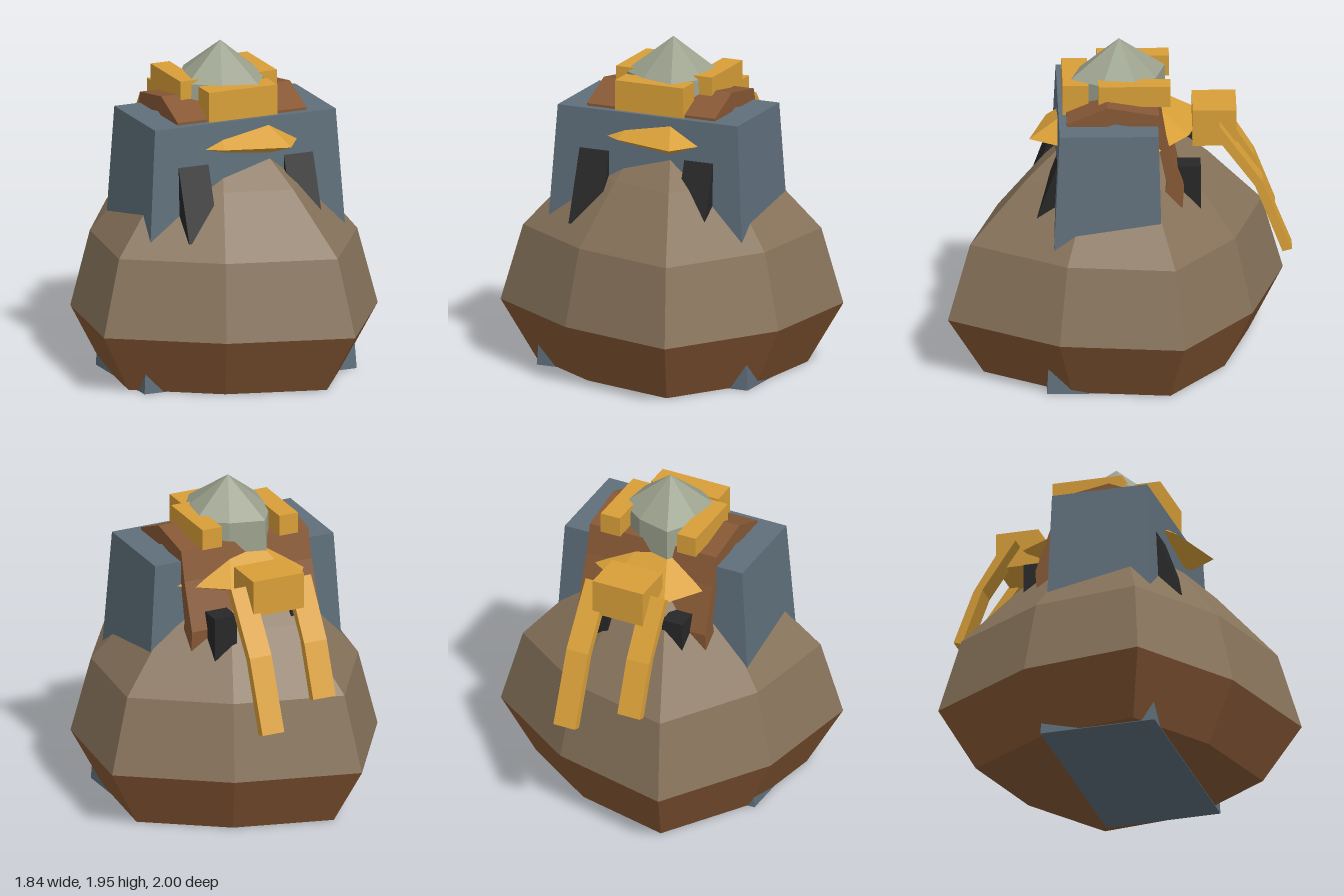
import * as THREE from 'three';

const mat = (name, color) => Object.assign(new THREE.MeshStandardMaterial({ color }), { name });

export function createModel() {
  const taupe = mat('taupe', 0x87735b), brown = mat('brown', 0x875835), slate = mat('slate', 0x5f6f7b);
  const gold = mat('gold', 0xd89f38), black = mat('black', 0x272727), sage = mat('sage', 0x9ba18d);
  const model = new THREE.Group();

  const add = (name, geometry, material) => {
    const mesh = new THREE.Mesh(geometry, material);
    mesh.name = name;
    model.add(mesh);
    return mesh;
  };

  // Box given by its x, y and z ranges
  const box = (name, material, x0, x1, y0, y1, z0, z1) => {
    const g = new THREE.BoxGeometry(x1 - x0, y1 - y0, z1 - z0);
    g.translate((x0 + x1) / 2, (y0 + y1) / 2, (z0 + z1) / 2);
    return add(name, g, material);
  };

  // Side profile of [z, y] points extruded between two x values
  const profile = (name, material, x0, x1, points) => {
    const shape = new THREE.Shape(points.map(([z, y]) => new THREE.Vector2(-z, y)));
    const g = new THREE.ExtrudeGeometry(shape, { depth: x1 - x0, bevelEnabled: false });
    g.rotateY(Math.PI / 2);
    g.translate(x0, 0, 0);
    return add(name, g, material);
  };

  // Irregular eight-sided outline shared by all body rings, as [x, z]
  const outline = [[0.41, 1], [-0.32, 0.8], [-0.92, 0.4], [-0.81, -0.32],
    [-0.4, -0.96], [0.33, -0.77], [0.92, -0.36], [0.84, 0.36]];

  // Faceted shell through rings of [scale, y]
  const shell = (name, material, rings) => {
    const pos = [];
    const at = (i, [s, y]) => {
      const [x, z] = outline[i % 8];
      return [x * s, y, z * s];
    };
    for (let r = 0; r < rings.length - 1; r++) {
      const lo = rings[r], hi = rings[r + 1];
      for (let i = 0; i < 8; i++) {
        if (lo[0] > 0) pos.push(...at(i + 1, lo), ...at(i, lo), ...at(i, hi));
        if (hi[0] > 0) pos.push(...at(i + 1, lo), ...at(i, hi), ...at(i + 1, hi));
      }
    }
    const g = new THREE.BufferGeometry();
    g.setAttribute('position', new THREE.Float32BufferAttribute(pos, 3));
    g.computeVertexNormals();
    return add(name, g, material);
  };

  // Body, from base to pointed cap
  shell('base', brown, [[0, 0.004], [0.79, 0.004], [1, 0.36]]);
  shell('body', taupe, [[1, 0.36], [0.87, 0.81], [0.54, 1.16], [0.34, 1.335]]);
  shell('collar', gold, [[0.34, 1.335], [0.525, 1.41], [0.285, 1.555]]);
  shell('cap', sage, [[0.285, 1.555], [0.28, 1.74], [0, 1.95]]);

  // Tapered slate block running through the body
  const block = new THREE.BoxGeometry(1, 1.56, 1);
  block.translate(0, 0.78, 0);
  const p = block.attributes.position;
  for (let i = 0; i < p.count; i++) {
    const top = p.getY(i) > 0.5;
    p.setX(i, Math.sign(p.getX(i)) * (top ? 0.575 : 0.675));
    p.setZ(i, p.getZ(i) > 0 ? (top ? 0.355 : 0.43) : (top ? -0.22 : -0.26));
  }
  block.computeVertexNormals();
  add('slateBlock', block, slate);

  // Bent band over the top and down the back
  profile('backBand', brown, -0.41, 0.41, [[0.31, 1.555], [0.31, 1.575], [0.075, 1.675], [-0.225, 1.625],
    [-0.27, 1.45], [-0.37, 1.17], [-0.36, 1.03], [-0.25, 1.1], [-0.27, 1.2], [-0.2, 1.535],
    [0.03, 1.575], [0.09, 1.555]]);

  // Dark front wedges and rear blocks
  for (const [x0, x1] of [[-0.43, -0.24], [0.24, 0.425]]) {
    profile('frontWedge', black, x0, x1, [[0.3, 1.38], [0.345, 1.38], [0.52, 0.9], [0.3, 0.9]]);
  }
  for (const [x0, x1] of [[-0.31, -0.18], [0.17, 0.31]]) {
    box('rearBlock', black, x0, x1, 1.0, 1.27, -0.47, -0.3);
  }

  // Gold blocks around the cap and behind
  box('frontGoldBlock', gold, -0.22, 0.215, 1.56, 1.74, 0.18, 0.33);
  box('rightGoldBlock', gold, -0.31, -0.19, 1.64, 1.765, -0.295, 0.125);
  box('leftGoldBlock', gold, 0.18, 0.305, 1.64, 1.765, -0.295, 0.125);
  box('rearGoldBlock', gold, -0.16, 0.165, 1.34, 1.56, -0.68, -0.425);

  // Two bent tails hanging at the back
  profile('longTail', gold, 0.12, 0.26, [[-0.535, 1.46], [-0.58, 1.495], [-0.83, 1.15],
    [-1, 0.73], [-0.945, 0.715], [-0.785, 1.125]]);
  profile('shortTail', gold, -0.255, -0.11, [[-0.535, 1.46], [-0.58, 1.495], [-0.79, 1.165],
    [-0.91, 0.855], [-0.86, 0.84], [-0.735, 1.17]]);

  return model;
}
